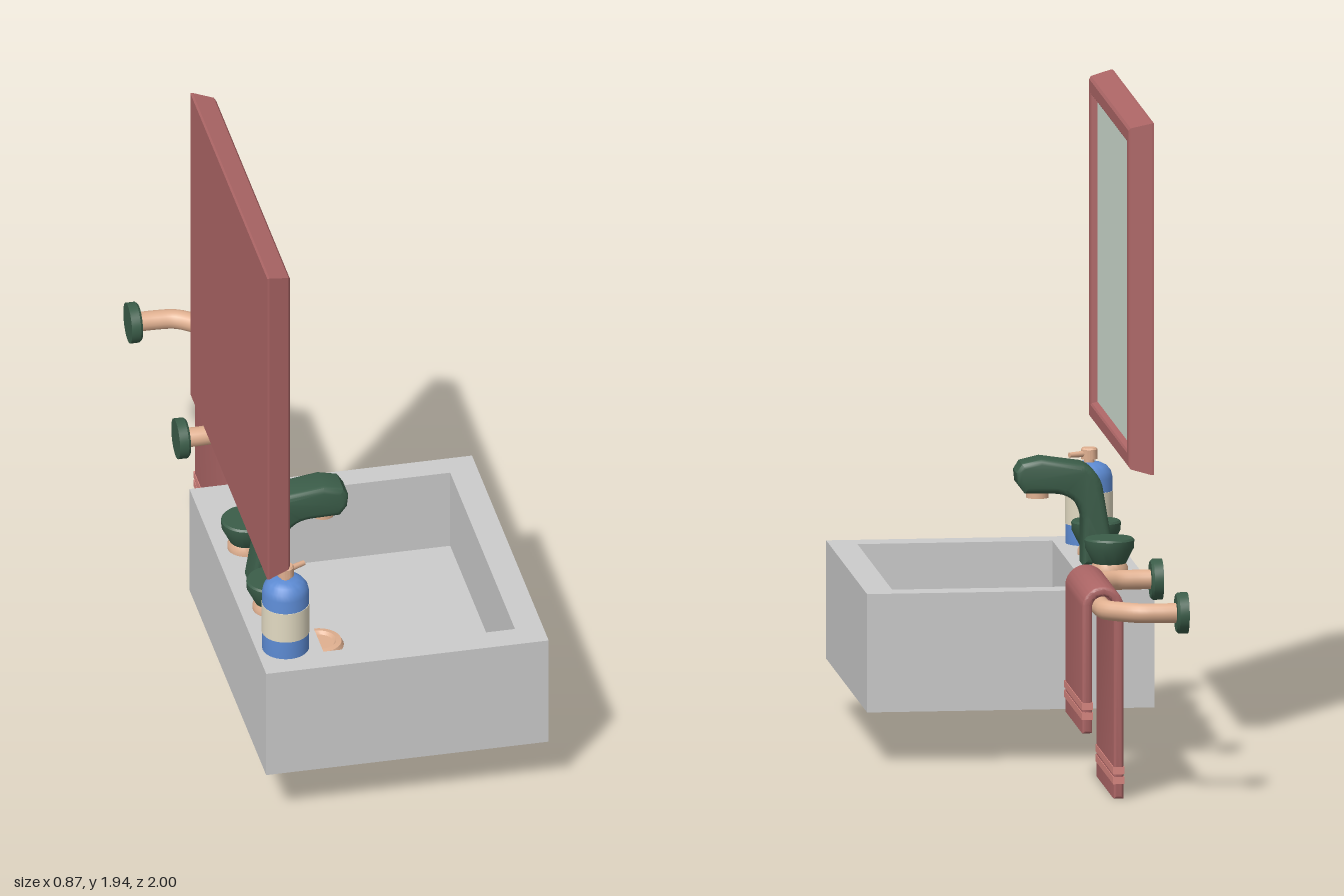
import * as THREE from 'three';
import { toCreasedNormals } from 'three/addons/utils/BufferGeometryUtils.js';

const paint = (color, extra = {}) => new THREE.MeshStandardMaterial({ color, ...extra });
const GREY = paint(0xcccccc), RED = paint(0xad6666), PINK = paint(0xd88780), GREEN = paint(0x3b5d49);
const TAN = paint(0xe0b090), BLUE = paint(0x5c8ad2), CREAM = paint(0xe2dac2), GLASS = paint(0xd2dfd3);

export function createModel() {
  const model = new THREE.Group();

  const add = (name, geometry, material, x = 0, y = 0, z = 0, parent = model) => {
    const mesh = new THREE.Mesh(geometry, material);
    mesh.name = name;
    mesh.position.set(x, y, z);
    parent.add(mesh);
    return mesh;
  };
  const group = (name) => {
    const g = new THREE.Group();
    g.name = name;
    model.add(g);
    return g;
  };
  const box = (x0, x1, y0, y1, z0, z1) =>
    new THREE.BoxGeometry(x1 - x0, y1 - y0, z1 - z0).translate((x0 + x1) / 2, (y0 + y1) / 2, (z0 + z1) / 2);
  const lathe = (pts, n = 32) =>
    toCreasedNormals(new THREE.LatheGeometry(pts.map(([r, y]) => new THREE.Vector2(r, y)), n), 0.6);
  // side profile extruded between two z positions with a rounded edge
  const slab = (shape, z0, z1, bevel) =>
    toCreasedNormals(new THREE.ExtrudeGeometry(shape, {
      depth: z1 - z0 - 2 * bevel, bevelSize: bevel, bevelThickness: bevel,
      bevelOffset: -bevel, bevelSegments: 3, curveSegments: 16,
    }).translate(0, 0, z0 + bevel), 0.6);

  // Sink: rectangular rim and walls around a straight-sided basin
  const sink = group('sink');
  const rect = (T, x0, x1, z0, z1) => new T().moveTo(x0, -z1).lineTo(x1, -z1).lineTo(x1, -z0).lineTo(x0, -z0).closePath();
  const rim = rect(THREE.Shape, -0.435, 0.435, -0.08, 0.985);
  rim.holes.push(rect(THREE.Path, -0.24, 0.35, 0, 0.9));
  add('basinWalls', new THREE.ExtrudeGeometry(rim, { depth: 0.26, bevelEnabled: false }).rotateX(-Math.PI / 2), GREY, 0, 0.26, 0, sink);
  add('basinFloor', box(-0.435, 0.435, 0.16, 0.26, -0.08, 0.985), GREY, 0, 0, 0, sink);
  add('drain', lathe([[0, 0.006], [0.045, 0.006], [0.052, 0.016], [0.068, 0.014], [0.075, 0]].reverse()), TAN, -0.155, 0.26, 0.455, sink);

  // Mirror: frame profile [inset, x] carried around a rectangle
  const mirror = group('mirror');
  const profile = [[0, -0.435], [0, -0.428], [0.016, -0.366], [0.024, -0.36], [0.06, -0.36], [0.066, -0.364], [0.072, -0.382]];
  const corners = ([d, x]) => {
    const z0 = -0.07 + d, z1 = 1 - d, y0 = 0.865 + d, y1 = 1.935 - d;
    return [[x, y0, z1], [x, y0, z0], [x, y1, z0], [x, y1, z1]];
  };
  const verts = [];
  for (let k = 0; k < profile.length - 1; k++) {
    const p = corners(profile[k]), q = corners(profile[k + 1]);
    for (let i = 0; i < 4; i++) {
      const j = (i + 1) % 4;
      verts.push(...p[i], ...p[j], ...q[j], ...p[i], ...q[j], ...q[i]);
    }
  }
  const frame = new THREE.BufferGeometry();
  frame.setAttribute('position', new THREE.Float32BufferAttribute(verts, 3));
  frame.computeVertexNormals();
  add('mirrorFrame', frame, RED, 0, 0, 0, mirror);
  add('mirrorBack', box(-0.435, -0.43, 0.865, 1.935, -0.07, 1), RED, 0, 0, 0, mirror);
  add('mirrorGlass', box(-0.4, -0.38, 0.935, 1.865, 0, 0.93), GLASS, 0, 0, 0, mirror);

  // Faucet: upright neck bending forward into a blunt spout
  const faucet = group('faucet');
  const neck = new THREE.Shape()
    .moveTo(-0.375, 0.52)
    .lineTo(-0.275, 0.52)
    .lineTo(-0.275, 0.66)
    .quadraticCurveTo(-0.26, 0.735, -0.19, 0.738)
    .lineTo(-0.1, 0.74)
    .lineTo(-0.077, 0.77)
    .lineTo(-0.073, 0.805)
    .lineTo(-0.09, 0.832)
    .lineTo(-0.15, 0.846)
    .lineTo(-0.275, 0.828)
    .quadraticCurveTo(-0.32, 0.81, -0.335, 0.76)
    .closePath();
  add('faucetNeck', slab(neck, 0.4, 0.51, 0.018), GREEN, 0, 0, 0, faucet);
  add('faucetNozzle', new THREE.CylinderGeometry(0.034, 0.034, 0.03, 24), TAN, -0.143, 0.737, 0.455, faucet);

  // Tap knobs
  for (const z of [0.275, 0.625]) {
    const knob = group('tapKnob');
    add('knobBase', lathe([[0.056, 0], [0.056, 0.015], [0.048, 0.03], [0, 0.03]]), TAN, -0.34, 0.52, z, knob);
    add('knobCup', lathe([[0, 0.02], [0.045, 0.02], [0.05, 0.028], [0.074, 0.075], [0.075, 0.098], [0.07, 0.104], [0, 0.104]]), GREEN, -0.34, 0.52, z, knob);
  }

  // Soap bottle with label band and pump
  const bottle = group('soapBottle');
  bottle.position.set(-0.345, 0.52, 0.848);
  add('bottleBody', lathe([[0, 0], [0.071, 0], [0.071, 0.2], [0.066, 0.22], [0.053, 0.236], [0.035, 0.245], [0, 0.247]]), BLUE, 0, 0, 0, bottle);
  add('bottleLabel', new THREE.CylinderGeometry(0.0725, 0.0725, 0.1, 32), CREAM, 0, 0.11, 0, bottle);
  add('pumpCap', lathe([[0.016, 0.24], [0.016, 0.256], [0.025, 0.256], [0.025, 0.285], [0.021, 0.29], [0, 0.29]], 20), TAN, 0, 0, 0, bottle);
  const spout = add('pumpSpout', new THREE.CylinderGeometry(0.008, 0.01, 0.06, 12).rotateZ(-Math.PI / 2), TAN, 0.036, 0.272, -0.017, bottle);
  spout.rotation.y = 0.44;

  // Towel rail: one bent tube between two wall discs
  const rail = group('towelRail');
  const half = [[-0.42, 0.333], [-0.35, 0.333], [-0.29, 0.325], [-0.235, 0.288], [-0.2, 0.255], [-0.1925, 0.22]];
  const path = [...half, ...half.map(([x, z]) => [x, -z]).reverse()];
  const curve = new THREE.CatmullRomCurve3(path.map(([x, z]) => new THREE.Vector3(x, 0.58, -0.605 + z)), false, 'centripetal');
  add('railTube', new THREE.TubeGeometry(curve, 80, 0.03, 16), TAN, 0, 0, 0, rail);
  for (const z of [-0.272, -0.938])
    add('wallDisc', lathe([[0, 0], [0.062, 0], [0.062, 0.028], [0.056, 0.035], [0, 0.035]]).rotateZ(-Math.PI / 2), GREEN, -0.435, 0.58, z, rail);

  // Towel: folded over the rail, long at the wall side
  const towel = group('towel');
  const cx = -0.1925, cy = 0.583;
  const fold = new THREE.Shape()
    .moveTo(-0.255, 0)
    .lineTo(-0.255, cy)
    .absarc(cx, cy, 0.0625, Math.PI, 0, true)
    .lineTo(-0.13, 0.2)
    .lineTo(-0.16, 0.2)
    .lineTo(-0.16, cy)
    .absarc(cx, cy, 0.0325, 0, Math.PI, false)
    .lineTo(-0.225, 0)
    .closePath();
  add('towelCloth', slab(fold, -0.828, -0.372, 0.009), RED, 0, 0, 0, towel);
  for (const [x0, x1, y] of [[-0.257, -0.223, 0.045], [-0.162, -0.128, 0.242]])
    for (const dy of [0, 0.03])
      add('towelStripe', box(x0, x1, y + dy, y + dy + 0.022, -0.829, -0.371), PINK, 0, 0, 0, towel);

  return model;
}
